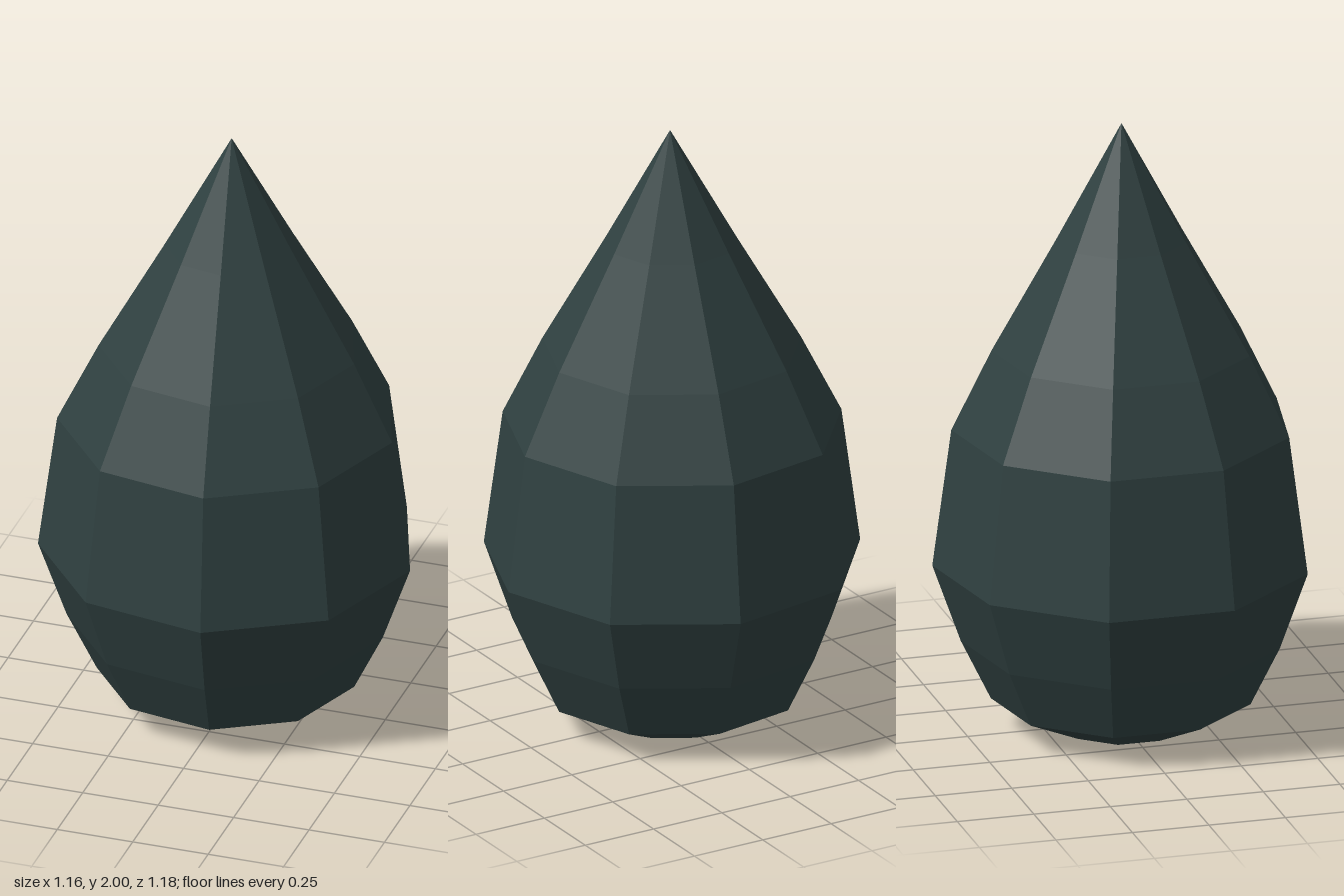
import * as THREE from 'three';

export function createModel() {
  const model = new THREE.Group();
  model.name = 'facetedDrop';

  const darkSlate = new THREE.MeshStandardMaterial({ color: 0x2f4040, flatShading: true });
  darkSlate.name = 'darkSlate';

  // Profile from the base centre up to the tip: radius, height
  const profile = [
    [0, 0], [0.2, 0], [0.415, 0.1], [0.51, 0.295], [0.6, 0.55],
    [0.54, 1.0], [0.412, 1.26], [0.208, 1.62], [0, 2],
  ].map(([r, y]) => new THREE.Vector2(r, y));

  // Nine-sided body with one corner pointing to +x
  const geometry = new THREE.LatheGeometry(profile, 9, Math.PI / 2);

  // Centre the nine-sided outline; the tip leans slightly back to the middle
  const pos = geometry.attributes.position;
  for (let i = 0; i < pos.count; i++) {
    const lean = 0.009 * Math.max(0, pos.getY(i) - 1);
    pos.setX(i, pos.getX(i) - 0.018 + lean);
  }
  geometry.computeVertexNormals();

  const body = new THREE.Mesh(geometry, darkSlate);
  body.name = 'body';
  model.add(body);
  return model;
}
